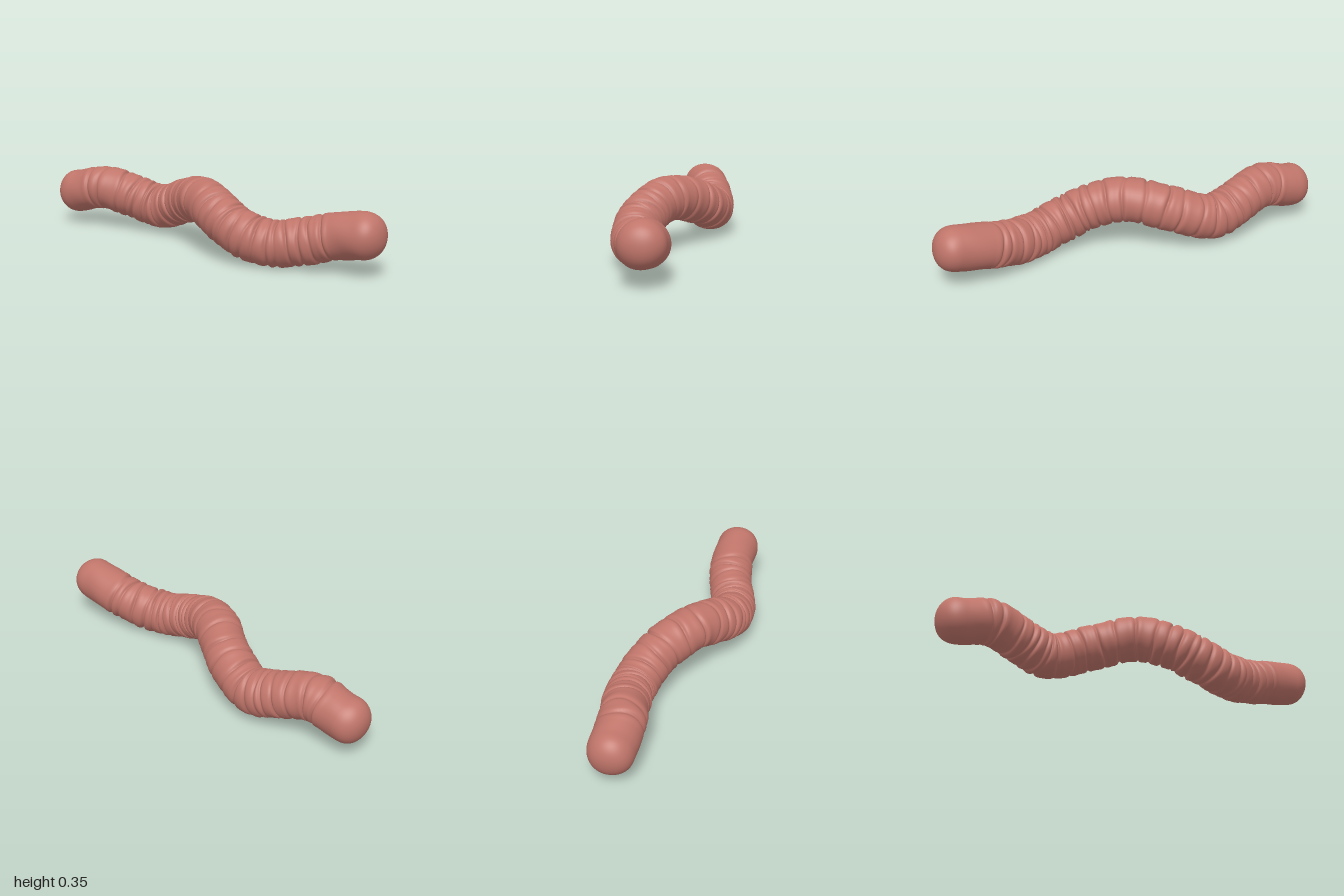
import * as THREE from 'three';

const RADIUS = 0.11, CAP = 0.1, SIDES = 48, CAP_RINGS = 14, BODY_RINGS = 560;

// centre line of the winding body, from its right end to its left end
const spine = new THREE.CatmullRomCurve3([
  [-0.995, 0.158, 0.018], [-0.88, 0.175, 0.003], [-0.72, 0.208, -0.02], [-0.58, 0.178, -0.068],
  [-0.4, 0.137, -0.112], [-0.2, 0.2, -0.078], [0, 0.247, 0.02], [0.15, 0.214, 0.083],
  [0.3, 0.155, 0.11], [0.46, 0.116, 0.078], [0.6, 0.133, 0.012], [0.75, 0.172, -0.04],
  [0.88, 0.193, -0.057], [0.993, 0.203, -0.067],
].map(p => new THREE.Vector3(...p)), false, 'centripetal');
spine.arcLengthDivisions = 800;

// places of the skin creases along x
const creases = [-0.77, -0.715, -0.62, -0.56, -0.515, -0.475, -0.435, -0.385, -0.31, -0.235,
  -0.16, -0.08, 0.01, 0.085, 0.145, 0.195, 0.235, 0.275, 0.315, 0.37, 0.42, 0.465, 0.505,
  0.55, 0.605, 0.665, 0.715];

// depth of the creases: each leans a little and fades around the body
function creaseDepth(x, angle) {
  let depth = 0;
  creases.forEach((c, i) => {
    const phase = i * 2.4;
    const d = x - c - 0.008 * Math.sin(angle + phase) - 0.003 * Math.sin(3 * angle + phase);
    if (Math.abs(d) > 0.06) return;
    const strength = 0.72 + 0.28 * Math.sin(2 * angle + phase * 1.7);
    depth += strength * (0.012 * Math.exp(-((d / 0.0065) ** 2))
      - 0.0025 * Math.exp(-(((Math.abs(d) - 0.02) / 0.012) ** 2)));
  });
  return depth;
}

function bodyGeometry() {
  const length = spine.getLength();
  // stations along the spine, packed closely over the rounded ends
  const stations = [];
  for (let i = 0; i < CAP_RINGS; i++) stations.push(CAP * (1 - Math.cos(i / CAP_RINGS * Math.PI / 2)));
  for (let i = 0; i <= BODY_RINGS; i++) stations.push(CAP + (length - 2 * CAP) * i / BODY_RINGS);
  for (let i = CAP_RINGS - 1; i >= 0; i--) stations.push(length - stations[i]);

  const positions = [], index = [];
  const up = new THREE.Vector3(0, 1, 0), point = new THREE.Vector3();
  stations.forEach((s, ring) => {
    const centre = spine.getPointAt(s / length);
    const tangent = spine.getTangentAt(s / length);
    const side = new THREE.Vector3().crossVectors(tangent, up).normalize();
    const top = new THREE.Vector3().crossVectors(side, tangent);
    const toEnd = Math.min(s, length - s);
    const cap = toEnd < CAP ? Math.pow(Math.max(0, 1 - (1 - toEnd / CAP) ** 2.2), 1 / 2.2) : 1;
    for (let j = 0; j < SIDES; j++) {
      const a = j / SIDES * Math.PI * 2;
      const swell = 0.0012 * Math.sin(s * 23 + 2 * a) + 0.001 * Math.sin(s * 41 - 3 * a);
      const r = cap * (RADIUS + swell - creaseDepth(centre.x, a));
      point.copy(centre).addScaledVector(top, r * Math.cos(a)).addScaledVector(side, r * Math.sin(a));
      positions.push(point.x, point.y, point.z);
      if (ring < stations.length - 1) {
        const p = ring * SIDES + j, q = ring * SIDES + (j + 1) % SIDES;
        index.push(p, q, p + SIDES, q, q + SIDES, p + SIDES);
      }
    }
  });
  const g = new THREE.BufferGeometry();
  g.setAttribute('position', new THREE.Float32BufferAttribute(positions, 3));
  g.setIndex(index);
  g.computeVertexNormals();

  // both end rings shrink to a point, so they share the direction of the spine
  const last = stations.length - 1;
  for (const [ring, t, sign] of [[0, 0, -1], [last, 1, 1]]) {
    const n = spine.getTangentAt(t).multiplyScalar(sign);
    for (let j = 0; j < SIDES; j++) g.attributes.normal.setXYZ(ring * SIDES + j, n.x, n.y, n.z);
  }

  // stand on the ground, centred
  g.computeBoundingBox();
  const c = g.boundingBox.getCenter(new THREE.Vector3());
  g.translate(-c.x, -g.boundingBox.min.y, -c.z);
  return g;
}

export function createModel() {
  const skin = new THREE.MeshStandardMaterial({ color: 0xc0756a });
  skin.name = 'earthy pink skin';
  const body = new THREE.Mesh(bodyGeometry(), skin);
  body.name = 'wormBody';
  const group = new THREE.Group();
  group.name = 'worm';
  group.add(body);
  return group;
}
